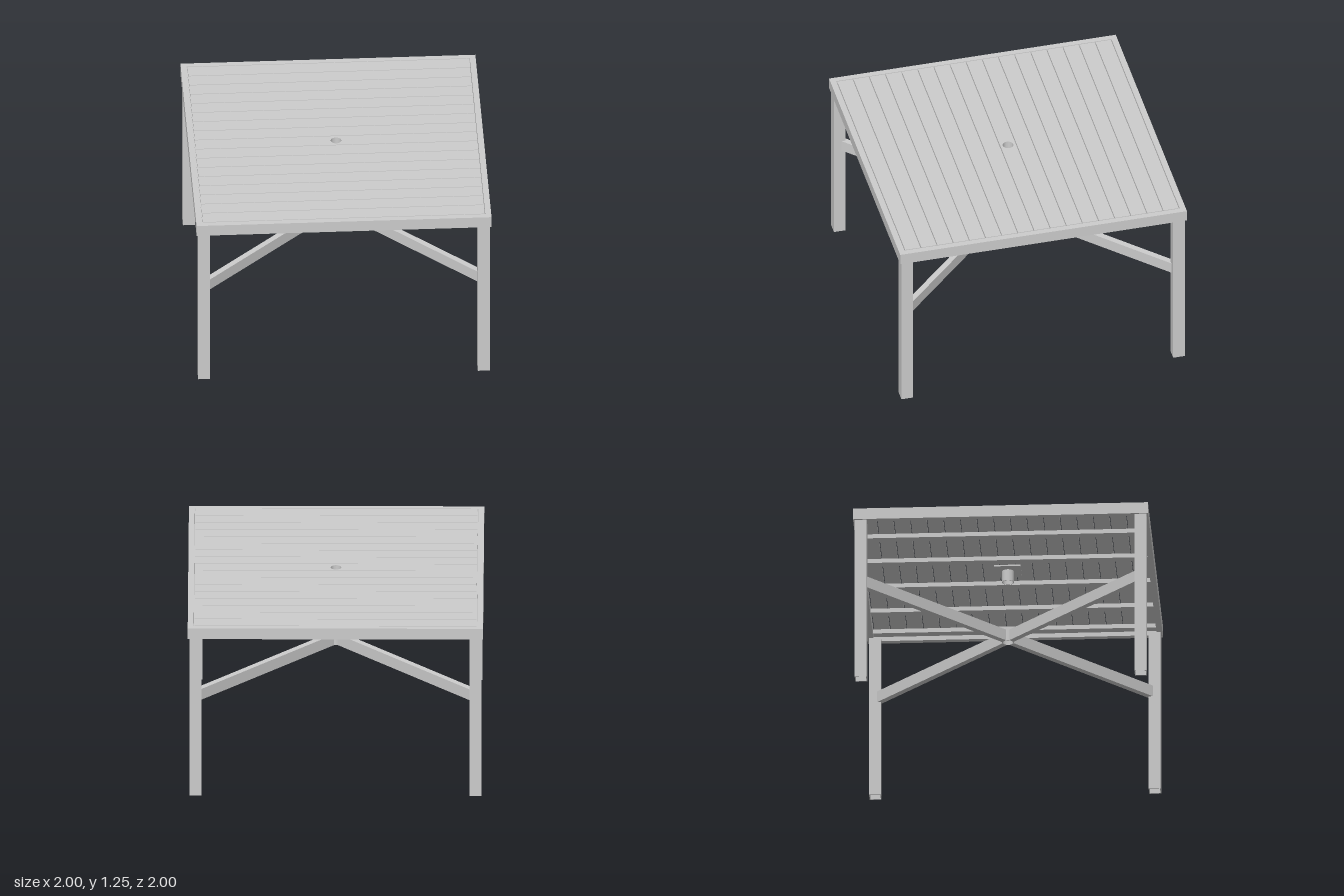
import * as THREE from 'three';

const grey = new THREE.MeshStandardMaterial({ color: 0xcccccc });
grey.name = 'light grey';

function add(parent, name, geometry, x = 0, y = 0, z = 0) {
  const mesh = new THREE.Mesh(geometry, grey);
  mesh.name = name;
  mesh.position.set(x, y, z);
  parent.add(mesh);
  return mesh;
}

const box = (w, h, d) => new THREE.BoxGeometry(w, h, d);

function rect(w, d, Type = THREE.Shape) {
  const s = new Type();
  s.moveTo(-w / 2, -d / 2);
  s.lineTo(w / 2, -d / 2);
  s.lineTo(w / 2, d / 2);
  s.lineTo(-w / 2, d / 2);
  s.closePath();
  return s;
}

function circle(r, Type = THREE.Shape) {
  const s = new Type();
  s.absarc(0, 0, r, 0, Math.PI * 2, false);
  return s;
}

// Extrudes a plan outline with one hole upwards from y = 0.
function upright(outline, hole, height) {
  outline.holes.push(hole);
  const g = new THREE.ExtrudeGeometry(outline, { depth: height, bevelEnabled: false, curveSegments: 24 });
  return g.rotateX(-Math.PI / 2);
}

export function createModel() {
  const table = new THREE.Group();
  table.name = 'slattedTable';

  // Rim around the top
  add(table, 'topFrame', upright(rect(2, 2), rect(1.92, 1.92, THREE.Path), 0.08), 0, 1.17, 0);

  // Slats, the middle one pierced for the parasol
  const count = 17, pitch = 0.1126, gap = 0.006, thick = 0.02;
  for (let i = 0; i < count; i++) {
    const k = i - (count - 1) / 2;
    const depth = pitch - gap;
    if (k === 0) {
      add(table, 'middleSlat', upright(rect(1.908, depth), circle(0.038, THREE.Path), thick), 0, 1.23, 0);
    } else {
      add(table, 'slat', box(1.908, thick, depth), 0, 1.24, k * pitch);
    }
  }

  // Battens below the slats
  for (const x of [-0.928, -0.595, -0.2, 0.2, 0.595, 0.928]) {
    add(table, 'batten', box(0.06, 0.03, 1.92), x, 1.215, 0);
  }

  // Parasol plate, collar and lower ring
  add(table, 'parasolPlate', upright(rect(0.18, 0.18), circle(0.038, THREE.Path), 0.01), 0, 1.22, 0);
  add(table, 'parasolCollar', upright(circle(0.04), circle(0.036, THREE.Path), 0.11), 0, 1.14, 0);
  add(table, 'braceRing', upright(circle(0.04), circle(0.036, THREE.Path), 0.08), 0, 0.69, 0);

  // Hollow legs, each with a diagonal brace to the ring
  const inner = 0.038, outer = 1.305;
  for (const sx of [-1, 1]) {
    for (const sz of [-1, 1]) {
      add(table, 'leg', upright(rect(0.082, 0.082), rect(0.072, 0.072, THREE.Path), 1.17), sx * 0.948, 0, sz * 0.948);
      const mid = (inner + outer) / 2 * Math.SQRT1_2;
      const brace = add(table, 'brace', box(outer - inner, 0.08, 0.04), sx * mid, 0.73, sz * mid);
      brace.rotation.y = -sx * sz * Math.PI / 4;
    }
  }
  return table;
}
